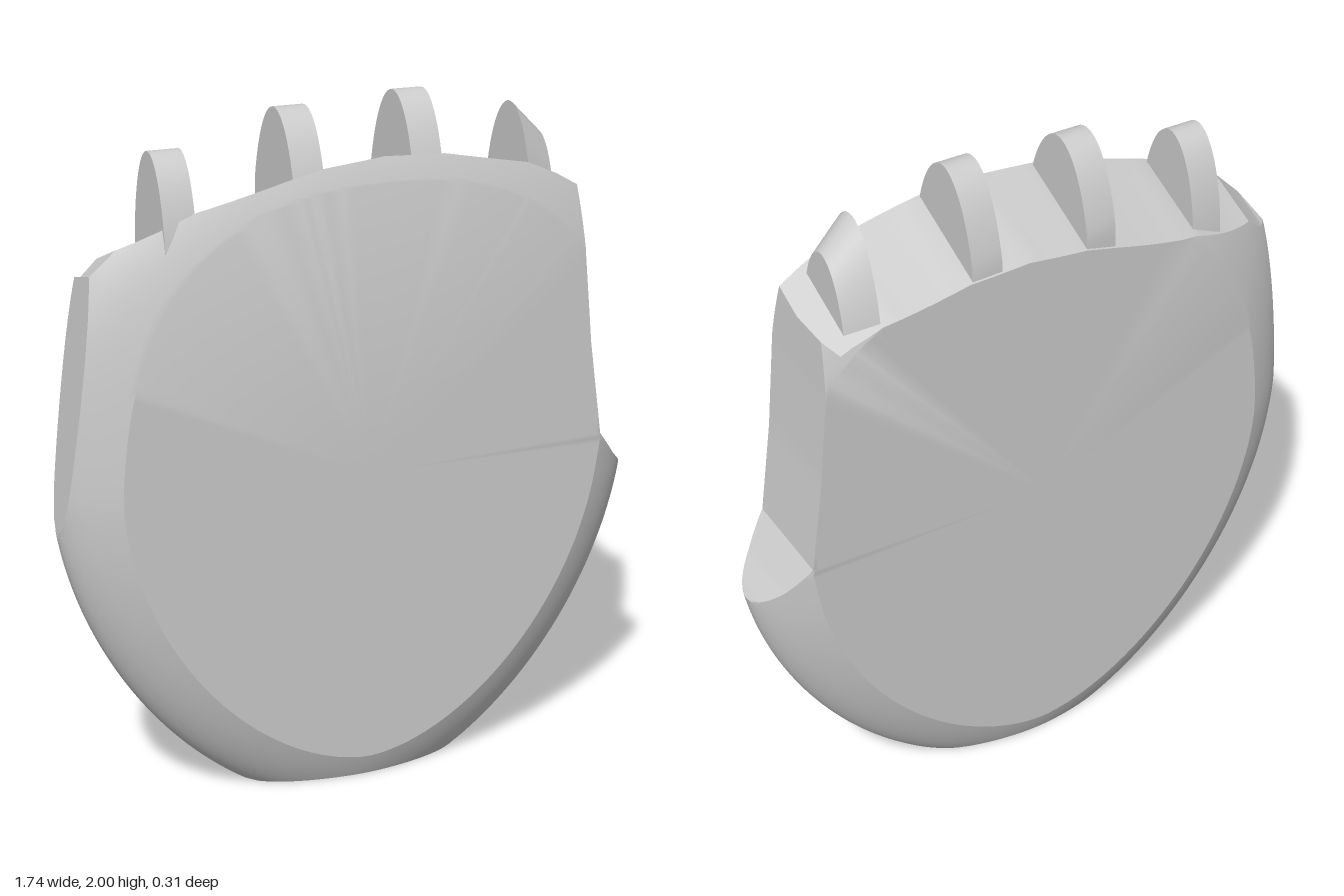
import * as THREE from 'three';
import { toCreasedNormals } from 'three/addons/utils/BufferGeometryUtils.js';

const HALF = 0.155; // half thickness of the flat faces
const CY = 0.95; // height of the palm centre
const mat = new THREE.MeshStandardMaterial({ color: 0xcccccc });

// Half thickness of the pebble-like palm at (x, y): a squashed ellipsoid cut flat
function thickness(x, y) {
  const t = THREE.MathUtils.smoothstep(y, 0.85, 1.6);
  const n = 1.75 + 0.65 * t, a = 0.88 + 0.1 * t, b = y < CY ? 1.07 : 1.05;
  const s = Math.abs((x - 0.05 * t) / a) ** n + Math.abs((y - CY) / b) ** n;
  return Math.min(HALF, (0.288 - 0.053 * t) * Math.sqrt(Math.max(0, 1 - s)));
}

// Half width of the rounded lower rim at height y
const rimX = (y) => 0.88 * (1 - ((CY - y) / 1.07) ** 1.75) ** (1 / 1.75);

// Subdivide a polyline, leaving out its last point
function divide(points, steps) {
  const out = [];
  for (let i = 0; i < points.length - 1; i++) {
    for (let k = 0; k < steps; k++) {
      const f = k / steps;
      out.push(points[i].map((v, j) => v + (points[i + 1][j] - v) * f));
    }
  }
  return out;
}

// Closed outline, counter-clockwise; the top edge is marked as sloping
function palmOutline() {
  const x0 = rimX(0), yr = 0.82, yl = 0.84, right = [], left = [];
  for (let k = 0; k < 40; k++) {
    const y = (k / 40) ** 1.3;
    right.push([rimX(y * yr), y * yr]);
    left.push([-rimX(y * yl), y * yl]);
  }
  const bottom = divide([[-x0, 0], [x0, 0]], 24);
  const thumbSide = divide([[rimX(yr), yr], [0.8, 0.885], [0.73, 0.97], [0.69, 1.25],
    [0.665, 1.5], [0.65, 1.71]], 6);
  const top = divide([[0.65, 1.71], [0.58, 1.75], [0.49, 1.79], [0.23, 1.84], [0.05, 1.848],
    [-0.13, 1.83], [-0.22, 1.81], [-0.49, 1.74], [-0.58, 1.7], [-0.7, 1.65], [-0.77, 1.58]], 5);
  const outerSide = divide([[-0.77, 1.58], [-rimX(yl), yl]], 24);
  const corner = outerSide.shift();
  const slope = [...top, corner].map(([x, y]) => [x, y, true]);
  return [...bottom, ...right, ...thumbSide, ...slope, ...outerSide,
    [-rimX(yl), yl], ...left.reverse().slice(0, -1)];
}

// Palm: two domed sheets joined by a wall along the outline
function palmGeometry() {
  const front = palmOutline();
  // the knuckle edge falls towards the back
  const back = front.map(([x, y, slope]) => [x, slope ? y - 0.9 * thickness(x, y) : y]);
  const pos = [], index = [], N = front.length, RINGS = 18;

  function sheet(outline, side) {
    const start = pos.length / 3;
    const put = (x, y) => pos.push(x, y, side * thickness(x, y));
    // rings start at the edge of the flat face and crowd towards the rim
    const flat = outline.map(([x, y]) => {
      let lo = 0, hi = 0.985;
      for (let i = 0; i < 30; i++) {
        const f = (lo + hi) / 2;
        if (thickness(f * x, CY + f * (y - CY)) >= HALF) lo = f; else hi = f;
      }
      return lo;
    });
    put(0, CY);
    for (let k = 0; k <= RINGS; k++) {
      outline.forEach(([x, y], i) => {
        const f = 1 - (1 - flat[i]) * (1 - k / RINGS) ** 2;
        put(f * x, CY + f * (y - CY));
      });
    }
    const tri = (a, b, c) => (side > 0 ? index.push(a, b, c) : index.push(a, c, b));
    for (let i = 0; i < N; i++) {
      const j = (i + 1) % N;
      tri(start, start + 1 + i, start + 1 + j);
      for (let k = 0; k < RINGS; k++) {
        const p = start + 1 + k * N, q = p + N;
        tri(p + i, q + i, q + j);
        tri(p + i, q + j, p + j);
      }
    }
    return start + 1 + RINGS * N; // first index of the rim
  }

  const f = sheet(front, 1), b = sheet(back, -1);
  for (let i = 0; i < N; i++) {
    const j = (i + 1) % N;
    if (pos[(f + i) * 3 + 2] + pos[(f + j) * 3 + 2] < 1e-4) continue;
    index.push(f + i, b + i, b + j, f + i, b + j, f + j);
  }
  const geo = new THREE.BufferGeometry();
  geo.setAttribute('position', new THREE.Float32BufferAttribute(pos, 3));
  geo.setIndex(index);
  return toCreasedNormals(geo, 0.36);
}

// Knuckle tab: arched slab between x0 and x1, its outer end lowered to endTop
function knuckleGeometry(x0, x1, top, endTop) {
  const base = 1.55, rise = top - base;
  const w = thickness((x0 + x1) / 2, 1.72) / Math.sqrt(1 - (0.17 / rise) ** 2);
  const arch = [];
  for (let k = 0; k <= 32; k++) {
    const a = (Math.PI * k) / 32, z = w * Math.cos(a);
    arch.push(new THREE.Vector2(THREE.MathUtils.clamp(z, -0.15, 0.15), base + rise * Math.sin(a)));
  }
  const geo = new THREE.ExtrudeGeometry(new THREE.Shape(arch),
    { depth: x1 - x0, bevelEnabled: false });
  geo.rotateY(Math.PI / 2).translate(x0, 0, 0);
  const p = geo.attributes.position, drop = (endTop - base) / rise;
  for (let i = 0; i < p.count; i++) {
    if (p.getX(i) < x1 - 0.001) continue;
    p.setY(i, base + (p.getY(i) - base) * drop);
    p.setZ(i, p.getZ(i) * drop);
  }
  return toCreasedNormals(geo, 0.6);
}

export function createModel() {
  const group = new THREE.Group();
  group.name = 'palm';
  const add = (name, geo) => {
    const mesh = new THREE.Mesh(geo, mat);
    mesh.name = name;
    group.add(mesh);
  };
  add('palmBody', palmGeometry());
  [
    [-0.58, -0.49, 1.89, 1.89],
    [-0.22, -0.13, 1.98, 1.98],
    [0.13, 0.22, 2.0, 2.0],
    [0.49, 0.58, 1.94, 1.85],
  ].forEach((k, i) => add(`knuckle${i + 1}`, knuckleGeometry(...k)));
  return group;
}
